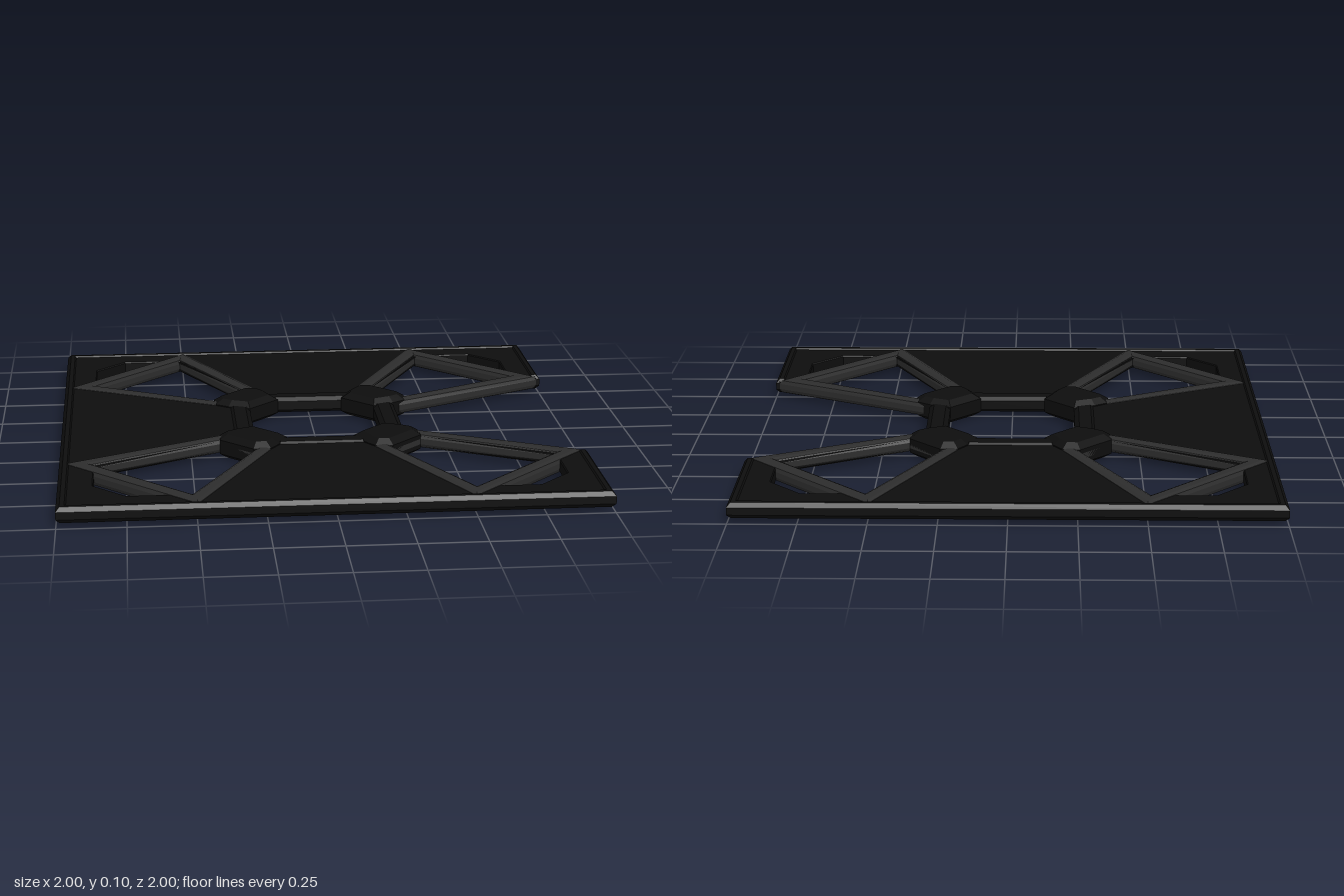
import * as THREE from 'three';

const MID = 0.048; // height of the middle plane
const dark = new THREE.MeshStandardMaterial({ color: 0x0d0d0d });
const metal = new THREE.MeshStandardMaterial({ color: 0x2c2c2c });

const toVectors = (pts) => pts.map(([x, z]) => new THREE.Vector2(x, z));

// Flat slab with bevelled edges, drawn in x/z and centred on the middle plane
function slab(name, outline, holes, half, bevelSize, bevelHeight, material, segments = 1) {
  const shape = new THREE.Shape(toVectors(outline));
  holes.forEach((h) => shape.holes.push(new THREE.Path(toVectors(h))));
  const depth = 2 * (half - bevelHeight);
  const geo = new THREE.ExtrudeGeometry(shape, {
    depth,
    bevelEnabled: true,
    bevelSize,
    bevelThickness: bevelHeight,
    bevelOffset: -bevelSize,
    bevelSegments: segments,
  });
  geo.translate(0, 0, -depth / 2);
  geo.rotateX(Math.PI / 2);
  geo.translate(0, MID, 0);
  const mesh = new THREE.Mesh(geo, material);
  mesh.name = name;
  return mesh;
}

// Eight-sided outline from the distance of its flats and their half length
const octagon = (a, b) => [[a, -b], [a, b], [b, a], [-b, a], [-a, b], [-a, -b], [-b, -a], [b, -a]];

// Completes an outline that is symmetric about the diagonal
const mirrorDiagonal = (pts) => [...pts, ...pts.map(([x, z]) => [z, x]).reverse()];

const quarterTurn = (pts, n) => {
  let out = pts;
  for (let i = 0; i < n; i++) out = out.map(([x, z]) => [-z, x]);
  return out;
};

export function createModel() {
  const group = new THREE.Group();

  // Square panel, open on the +x side, with a cut-out in every corner
  const cornerHole = mirrorDiagonal([[0.382, 0.258], [0.87, 0.515], [0.87, 0.75]]);
  const holes = [octagon(0.29, 0.14)];
  for (let i = 0; i < 4; i++) holes.push(quarterTurn(cornerHole, i));
  const notch = [[0.985, -0.495], [0.95, -0.495], [0.32, -0.18],
    [0.32, 0.18], [0.95, 0.495], [0.985, 0.495]];
  const panelOutline = [[-0.985, -0.985], [0.985, -0.985], ...notch, [0.985, 0.985], [-0.985, 0.985]];
  group.add(slab('panel', panelOutline, holes, 0.024, 0.004, 0.004, dark));

  // Bevelled rim around the three closed sides and the corner tips
  const r = 0.955;
  const rim = [[1, -0.495], [1, -1], [-1, -1], [-1, 1], [1, 1], [1, 0.495],
    [r, 0.495], [r, r], [-r, r], [-r, -r], [r, -r], [r, -0.495]];
  group.add(slab('rim', rim, [], 0.03, 0.014, 0.016, dark));

  // Ring around the central opening
  group.add(slab('centreRing', octagon(0.335, 0.165), [octagon(0.25, 0.13)], 0.032, 0.018, 0.014, dark));

  // Four mitred arm frames and the thick knuckles that join them to the ring
  const armOuter = mirrorDiagonal([[0.36, 0.18], [0.985, 0.495]]);
  const armInner = mirrorDiagonal([[0.39, 0.267], [0.87, 0.515]]);
  const knuckle = mirrorDiagonal([[0.25, 0.13], [0.335, 0.165], [0.385, 0.2], [0.39, 0.267]]);
  for (let i = 0; i < 4; i++) {
    group.add(slab('armFrame' + (i + 1), quarterTurn(armOuter, i), [quarterTurn(armInner, i)],
      0.031, 0.023, 0.02, metal, 2));
    group.add(slab('knuckle' + (i + 1), quarterTurn(knuckle, i), [], 0.048, 0.03, 0.02, dark));
  }
  return group;
}
